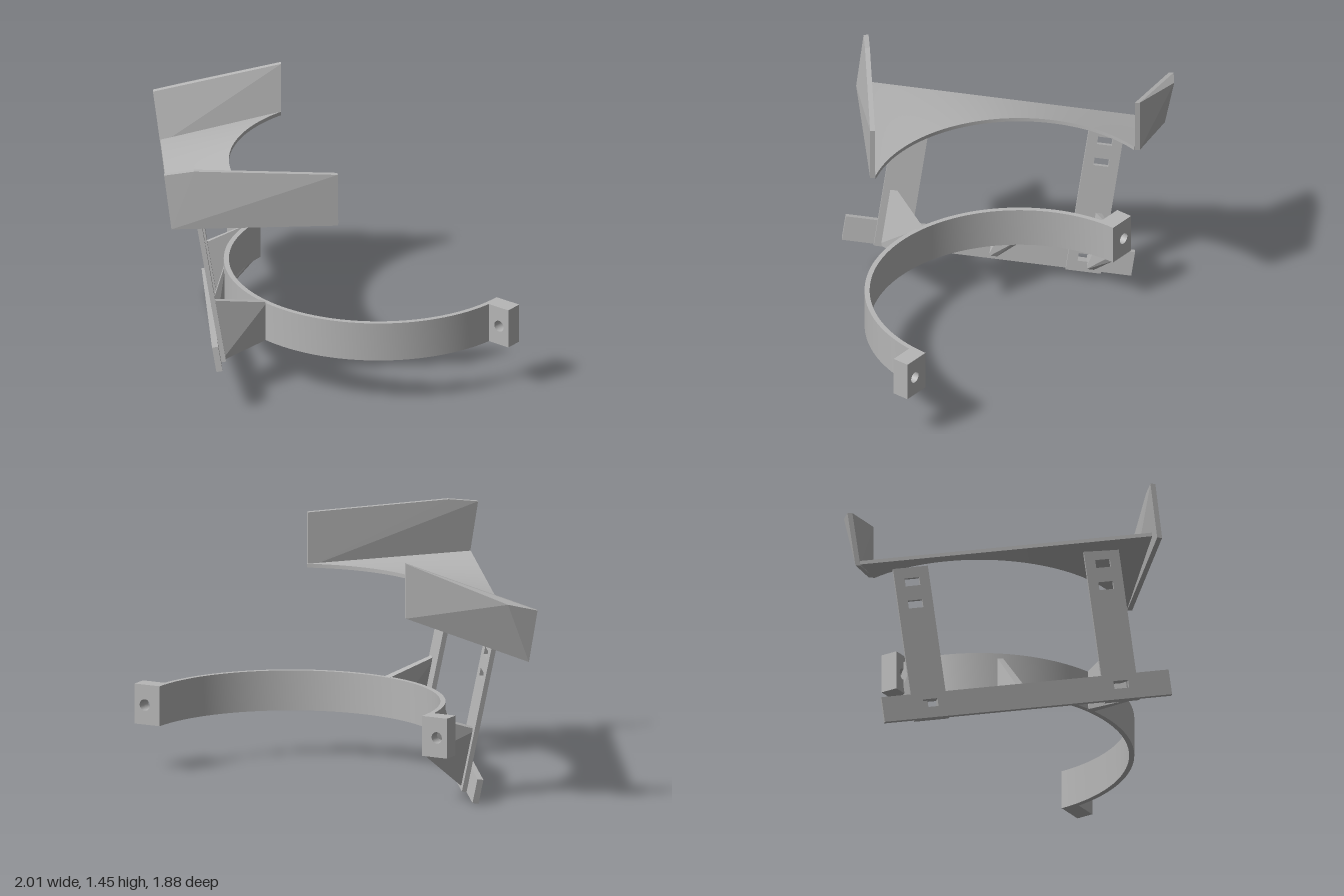
import * as THREE from 'three';
import { toCreasedNormals } from 'three/addons/utils/BufferGeometryUtils.js';
import { ConvexGeometry } from 'three/addons/geometries/ConvexGeometry.js';

const V = (x, y, z) => new THREE.Vector3(x, y, z);
const rad = THREE.MathUtils.degToRad;

// shared circle of the clamp ring and the wing cutout
const CX = 0.24, CZ = -0.04, R_IN = 0.843, R_OUT = 0.872;
const RING_Y0 = 0.265, RING_Y1 = 0.495;
const RING_START = 40, RING_END = 220;
const onCircle = (deg, r, y) => V(CX + r * Math.cos(rad(deg)), y, CZ + r * Math.sin(rad(deg)));

// solid swept through a list of four-cornered sections
function sweep(sections) {
  const pos = sections.flat().flatMap((p) => p.toArray());
  const index = [];
  const n = sections.length;
  for (let i = 0; i < n - 1; i++) {
    for (let k = 0; k < 4; k++) {
      const a = i * 4 + k, b = i * 4 + (k + 1) % 4;
      index.push(a, b, b + 4, a, b + 4, a + 4);
    }
  }
  const e = (n - 1) * 4;
  index.push(0, 2, 1, 0, 3, 2, e, e + 1, e + 2, e, e + 2, e + 3);
  const g = new THREE.BufferGeometry();
  g.setAttribute('position', new THREE.Float32BufferAttribute(pos, 3));
  g.setIndex(index);
  return toCreasedNormals(g, rad(30));
}

function rectPath(path, x0, x1, y0, y1) {
  path.moveTo(x0, y0).lineTo(x1, y0).lineTo(x1, y1).lineTo(x0, y1).closePath();
  return path;
}

export function createModel() {
  const model = new THREE.Group();
  const grey = new THREE.MeshStandardMaterial({ color: 0xb6b6b6 });
  grey.name = 'plain grey';

  const add = (name, geometry, parent = model) => {
    const mesh = new THREE.Mesh(geometry, grey);
    mesh.name = name;
    parent.add(mesh);
    return mesh;
  };

  // half clamp ring
  const ring = [];
  for (let i = 0; i <= 72; i++) {
    const d = RING_START + (RING_END - RING_START) * i / 72;
    ring.push([onCircle(d, R_IN, RING_Y0), onCircle(d, R_OUT, RING_Y0),
      onCircle(d, R_OUT, RING_Y1), onCircle(d, R_IN, RING_Y1)]);
  }
  add('clampRing', sweep(ring));

  // drilled bolt tabs at both ring ends
  for (const [name, deg, shift] of [['frontTab', RING_START, 0], ['backTab', RING_END, -0.1]]) {
    const shape = rectPath(new THREE.Shape(), 0.855, 1.005, RING_Y0, RING_Y1);
    shape.holes.push(new THREE.Path().absarc(0.938, 0.378, 0.033, 0, Math.PI * 2, true));
    const g = new THREE.ExtrudeGeometry(shape, { depth: 0.1, bevelEnabled: false, curveSegments: 20 });
    const tab = add(name, g.translate(0, 0, shift));
    tab.position.set(CX, 0, CZ);
    tab.rotation.y = -rad(deg);
  }

  // leaning frame: u runs backward along the rail, v up the struts, w inward
  const uAxis = V(0, -0.158, -0.987).normalize();
  const up = V(-0.165, 0.975, -0.156);
  const wAxis = uAxis.clone().cross(up).normalize();
  const vAxis = wAxis.clone().cross(uAxis).normalize();
  const frame = new THREE.Group();
  frame.name = 'mountingFrame';
  const basis = new THREE.Matrix4().makeBasis(uAxis, vAxis, wAxis).setPosition(-0.675, 0.265, 0.94);
  basis.decompose(frame.position, frame.quaternion, frame.scale);
  model.add(frame);
  const inFrame = (u, v, w) => V(u, v, w).applyMatrix4(basis);

  const plate = (box, holes, depth) => {
    const shape = rectPath(new THREE.Shape(), ...box);
    for (const [u, v] of holes) {
      shape.holes.push(rectPath(new THREE.Path(), u - 0.042, u + 0.042, v - 0.023, v + 0.023));
    }
    return new THREE.ExtrudeGeometry(shape, { depth, bevelEnabled: false });
  };
  const strutCentres = { frontStrut: 0.28, backStrut: 1.375 };
  const rail = plate([0, 1.65, 0, 0.145], Object.values(strutCentres).map((u) => [u, 0.085]), 0.035);
  add('baseRail', rail.translate(0, 0, -0.035), frame);
  for (const [name, u] of Object.entries(strutCentres)) {
    add(name, plate([u - 0.1, u + 0.1, 0, 0.89], [[u, 0.085], [u, 0.675], [u, 0.805]], 0.027), frame);
  }

  // tapered plates joining the frame to the ring
  const bracket = (name, u, height, w, deg0, deg1) => {
    const pts = [];
    for (const du of [-0.02, 0.02]) pts.push(inFrame(u + du, 0, w), inFrame(u + du, height, w));
    for (const d of [deg0, deg1]) {
      pts.push(onCircle(d, 0.86, RING_Y0), onCircle(d, 0.86, RING_Y1));
    }
    add(name, new ConvexGeometry(pts));
  };
  bracket('frontBracket', 0.225, 0.36, 0, 139, 142);
  bracket('middleBracket', 0.85, 0.145, -0.01, 179, 181);
  bracket('backBracket', 1.405, 0.36, 0, 216.5, 219.5);

  // twisted wing: curved inner edge level, straight outer edge sloping backward
  const wing = [];
  for (let i = 0; i <= 60; i++) {
    const d = 107.5 + (231.5 - 107.5) * i / 60;
    const top = onCircle(d, R_IN, 1.11);
    const t = THREE.MathUtils.clamp((0.765 - top.z) / 1.465, 0, 1);
    const outer = V(-0.96, 1.14 - 0.27 * t, 0.80 - 1.68 * t);
    const drop = V(0, -0.022, 0);
    wing.push([top.clone().add(drop), outer.clone().add(drop), outer, top]);
  }
  add('wing', sweep(wing));

  // leaning end plates of the wing
  const endPlate = (name, outline, dz) => {
    const pts = outline.map((p) => V(...p));
    add(name, new ConvexGeometry([...pts, ...pts.map((p) => p.clone().add(V(0, 0, dz)))]));
  };
  endPlate('frontEndPlate', [[-0.96, 1.11, 0.855], [-1, 1.425, 0.812], [-0.83, 1.445, 0.808],
    [-0.02, 1.405, 0.795], [-0.02, 1.09, 0.795]], -0.028);
  endPlate('backEndPlate', [[-0.96, 0.845, -0.885], [-1, 1.15, -0.935], [-0.83, 1.19, -0.935],
    [-0.285, 1.405, -0.73], [-0.285, 1.09, -0.73]], 0.028);

  return model;
}
